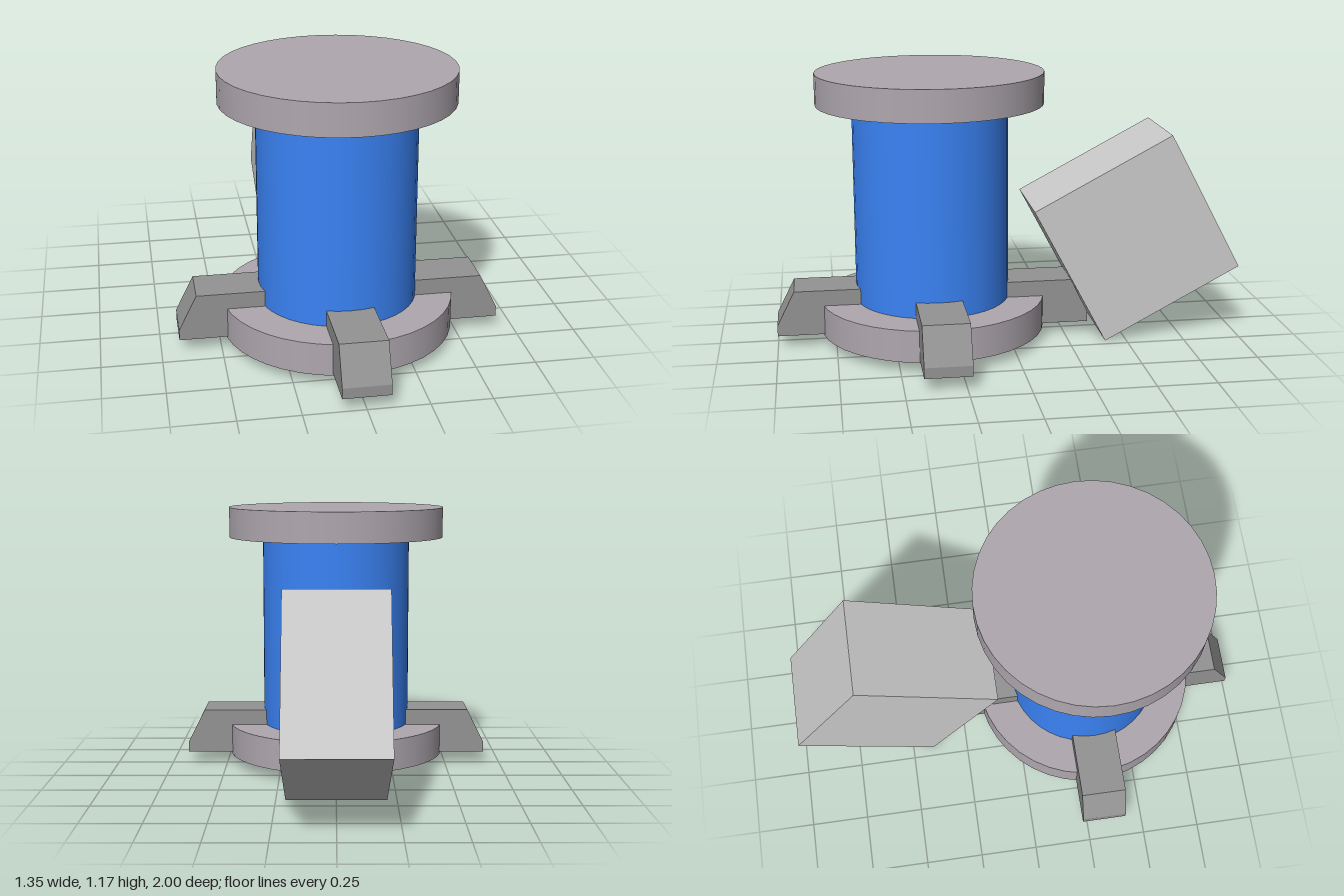
import * as THREE from 'three';

const COLUMN_Z = 0.325;

function makeMesh(name, geometry, color) {
  const mesh = new THREE.Mesh(geometry, new THREE.MeshStandardMaterial({ color }));
  mesh.name = name;
  return mesh;
}

// Upright round part between two heights
function makeRound(name, radius, bottom, top, color) {
  const mesh = makeMesh(name, new THREE.CylinderGeometry(radius, radius, top - bottom, 40), color);
  mesh.position.y = (bottom + top) / 2;
  return mesh;
}

export function createModel() {
  const model = new THREE.Group();
  const stand = new THREE.Group();
  stand.name = 'stand';
  stand.position.z = COLUMN_Z;
  model.add(stand);

  // Column between two flat discs
  stand.add(
    makeRound('baseDisc', 0.485, 0.05, 0.187, 0xafa8af),
    makeRound('column', 0.332, 0.187, 1.04, 0x3a83f5),
    makeRound('topDisc', 0.485, 1.04, 1.175, 0xafa8af)
  );

  // Four feet with a sloped outer end
  const profile = new THREE.Shape([
    [0.2, 0.06], [0.675, 0.06], [0.675, 0.105], [0.6, 0.255], [0.2, 0.255]
  ].map(([x, y]) => new THREE.Vector2(x, y)));
  const width = 0.195;
  const footGeometry = new THREE.ExtrudeGeometry(profile, { depth: width, bevelEnabled: false });
  footGeometry.translate(0, 0, -width / 2);
  ['leftFoot', 'backFoot', 'rightFoot', 'frontFoot'].forEach((name, i) => {
    const foot = makeMesh(name, footGeometry, 0x949494);
    foot.rotation.y = i * Math.PI / 2;
    stand.add(foot);
  });

  // Tilted block resting on one edge behind the column
  const block = makeMesh('tiltedBlock', new THREE.BoxGeometry(0.42, 0.668, 0.668), 0xcccccc);
  block.position.set(0, 0.457, -0.546);
  block.rotation.x = THREE.MathUtils.degToRad(28);
  model.add(block);

  return model;
}
